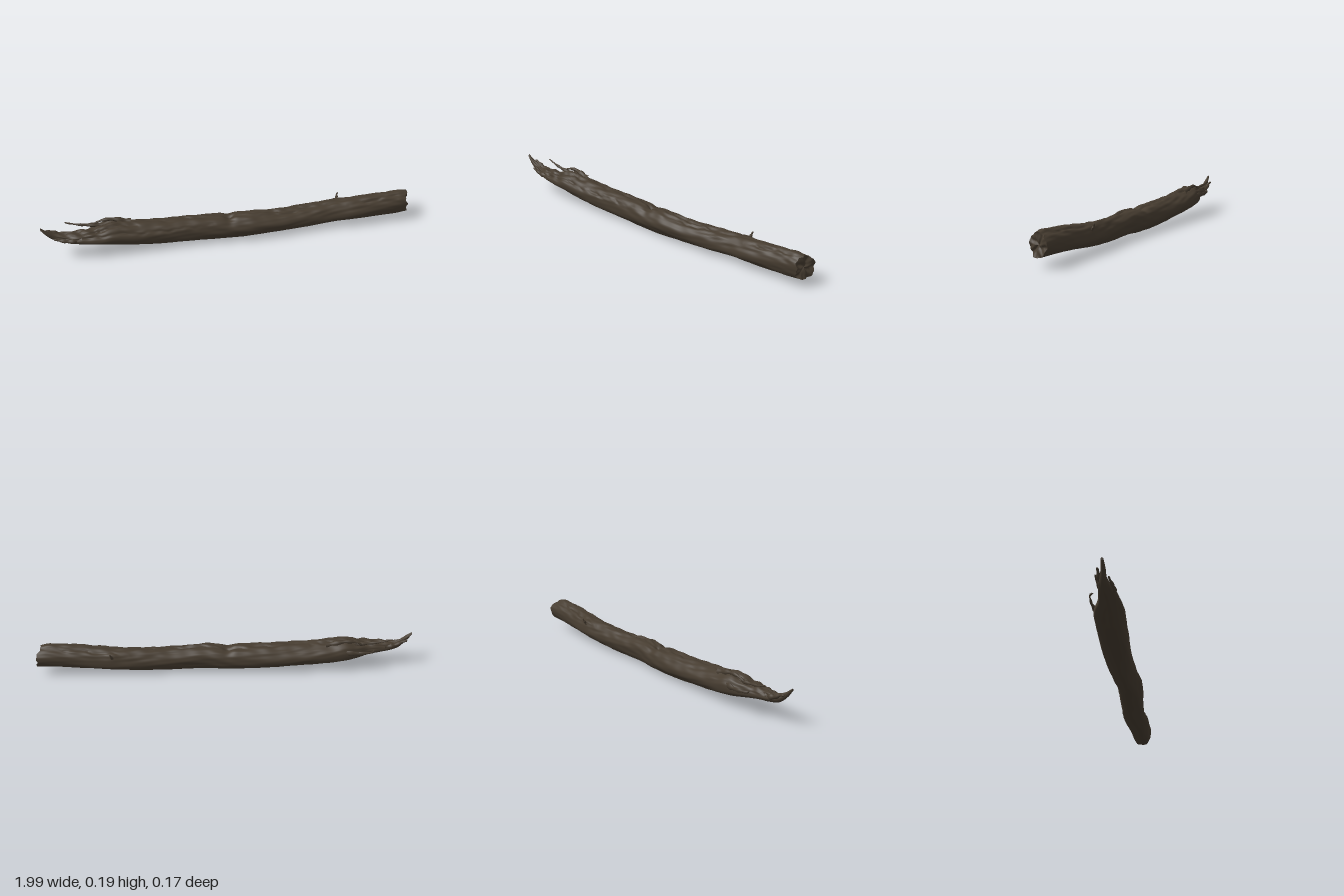
import * as THREE from 'three';

const SIDES = 64;
const RINGS = 260;

// x, bottom, top, back, front of the trunk outline
const stations = [
  [-1.0, 0.176, 0.19, -0.004, 0.008], [-0.97, 0.138, 0.168, -0.008, 0.014],
  [-0.93, 0.104, 0.146, -0.018, 0.016], [-0.88, 0.09, 0.138, -0.03, 0.028],
  [-0.83, 0.082, 0.14, -0.037, 0.046], [-0.76, 0.07, 0.143, -0.046, 0.058],
  [-0.7, 0.06, 0.152, -0.07, 0.065], [-0.64, 0.05, 0.168, -0.083, 0.068],
  [-0.57, 0.04, 0.158, -0.083, 0.068], [-0.4, 0.024, 0.145, -0.08, 0.068],
  [-0.2, 0.008, 0.14, -0.074, 0.065], [0.0, 0.003, 0.135, -0.06, 0.074],
  [0.1, 0.008, 0.138, -0.051, 0.083], [0.25, 0.012, 0.128, -0.053, 0.079],
  [0.4, 0.013, 0.131, -0.055, 0.07], [0.55, 0.02, 0.138, -0.058, 0.064],
  [0.65, 0.027, 0.145, -0.054, 0.075], [0.8, 0.034, 0.157, -0.042, 0.075],
  [0.92, 0.041, 0.164, -0.038, 0.077], [0.965, 0.042, 0.16, -0.035, 0.073],
];

// Grooves in the bark: start x, end x, angle, drift, depth
const cracks = [
  [-0.85, -0.5, 1.0, 0.3, 0.012], [-0.8, -0.45, 2.0, -0.3, 0.014],
  [-0.72, -0.1, 0.45, 0.25, 0.006], [-0.45, 0.0, 1.5, 0.3, 0.007],
  [-0.02, 0.5, 1.75, -0.35, 0.009], [0.1, 0.62, 1.1, 0.2, 0.005],
  [0.62, 0.95, 0.9, 0.25, 0.006], [0.5, 0.93, 2.2, -0.2, 0.005],
  [-0.98, -0.78, 1.4, 0.4, 0.01], [-0.95, -0.7, 0.2, 0.4, 0.008],
];

const bump = (v, width) => Math.exp(-((v / width) ** 2));

// Smooth interpolation along the outline stations
function outline(x) {
  let i = 0;
  while (i < stations.length - 2 && x > stations[i + 1][0]) i++;
  const a = stations[i], b = stations[i + 1];
  const p = stations[Math.max(i - 1, 0)], n = stations[Math.min(i + 2, stations.length - 1)];
  const h = b[0] - a[0], t = (x - a[0]) / h;
  return [1, 2, 3, 4].map((k) => {
    const m0 = (b[k] - p[k]) / (b[0] - p[0]) * h, m1 = (n[k] - a[k]) / (n[0] - a[0]) * h;
    return (2 * t ** 3 - 3 * t * t + 1) * a[k] + (t ** 3 - 2 * t * t + t) * m0
      + (3 * t * t - 2 * t ** 3) * b[k] + (t ** 3 - t * t) * m1;
  });
}

// Long bark ridges, cracks, knots and the top notch
function relief(x, a) {
  const up = Math.max(0, Math.sin(a));
  const rough = 0.3 + 0.7 * up;
  let d = 0.0022 * Math.sin(3 * a + 5 * x) + 0.0016 * Math.sin(5 * a - 9 * x + 2);
  d += rough * (0.0014 * Math.sin(11 * a + 6 * Math.sin(7 * x)) + 0.0012 * Math.sin(7 * a + 31 * x)
    + 0.001 * Math.sin(2 * a + 67 * x) + 0.0009 * Math.sin(17 * a - 23 * x));
  for (const [x0, x1, a0, drift, depth] of cracks) {
    const t = (x - x0) / (x1 - x0);
    if (t <= 0 || t >= 1) continue;
    const centre = a0 + drift * t + 0.07 * Math.sin(40 * x) + 0.04 * Math.sin(93 * x);
    d -= depth * Math.sqrt(Math.sin(Math.PI * t)) * bump(a - centre, 0.1);
  }
  d -= 0.02 * bump(x + 0.022, 0.026) * bump(a - 1.55, 0.75);
  d += 0.006 * bump(x - 0.58, 0.035) * bump(a - 2.5, 0.35);
  if (x < -0.6) d += 0.005 * up * Math.sin(85 * x + 3 * a) * Math.min(1, (-0.6 - x) * 5);
  return d;
}

// Closed, smooth skin over a list of rings of points
function skin(rings) {
  const n = rings[0].length;
  const pos = [], index = [];
  rings.forEach((r) => r.forEach((p) => pos.push(...p)));
  for (let i = 0; i < rings.length - 1; i++) {
    for (let j = 0; j < n; j++) {
      const a = i * n + j, b = i * n + (j + 1) % n;
      index.push(a, a + n, b, b, a + n, b + n);
    }
  }
  const g = new THREE.BufferGeometry();
  g.setAttribute('position', new THREE.Float32BufferAttribute(pos, 3));
  g.setIndex(index);
  g.computeVertexNormals();
  return g;
}

// One ring of the trunk; the last stretch is sheared into the slanted break
function trunkRing(x, scale = 1) {
  const [y0, y1, z0, z1] = outline(x);
  const ry = (y1 - y0) / 2, rz = (z1 - z0) / 2, cy = (y0 + y1) / 2, cz = (z0 + z1) / 2;
  const small = Math.min(1, Math.min(ry, rz) / 0.045);
  return Array.from({ length: SIDES }, (_, j) => {
    const a = (j / SIDES) * Math.PI * 2;
    const d = relief(x, a) * small;
    const y = cy + Math.sin(a) * (ry + d) * scale;
    const z = cz + Math.cos(a) * (rz + d) * scale;
    const end = THREE.MathUtils.smoothstep(x, 0.85, 0.965);
    const shear = -0.3 * (z - 0.02) - 0.12 * (y - 0.1) + 0.005 * Math.sin(5 * a + 1)
      + 0.003 * Math.sin(11 * a) - 0.014 * bump(a - 5.5, 0.3);
    return [x + end * shear, Math.max(0, y), z];
  });
}

// Tapered, slightly gnarled splinter along a path
function splinter(points, radius, flat = 1) {
  const curve = new THREE.CatmullRomCurve3(points.map((p) => new THREE.Vector3(...p)));
  const segments = 20, sides = 8;
  const g = new THREE.TubeGeometry(curve, segments, radius, sides, false);
  const pos = g.attributes.position, v = new THREE.Vector3();
  for (let i = 0; i < pos.count; i++) {
    const t = Math.floor(i / (sides + 1)) / segments;
    const c = curve.getPointAt(t);
    const s = t === 1 ? 0 : (1 - 0.75 * t) * (1 + 0.2 * Math.sin(t * 19 + radius * 900));
    v.fromBufferAttribute(pos, i).sub(c).multiplyScalar(s);
    v.z *= flat;
    pos.setXYZ(i, c.x + v.x, c.y + v.y, c.z + v.z);
  }
  g.computeVertexNormals();
  return g;
}

export function createModel() {
  const model = new THREE.Group();
  model.name = 'fallenBranch';
  const bark = new THREE.MeshStandardMaterial({ color: 0x463c30 });
  bark.name = 'dark bark';
  const add = (name, geometry) => {
    const mesh = new THREE.Mesh(geometry, bark);
    mesh.name = name;
    model.add(mesh);
  };

  // Trunk
  const rings = [];
  for (let i = 0; i <= RINGS; i++) rings.push(trunkRing(-1 + (1.965 * i) / RINGS));
  add('trunk', skin(rings));

  // Broken wood face at the thick end, dished with radial ridges
  const face = [1, 0.9, 0.7, 0.5, 0.3, 0.12, 0].map((s) => trunkRing(0.965, s).map(([x, y, z], j) => {
    const a = (j / SIDES) * Math.PI * 2;
    const dish = s === 1 ? 0 : 0.007 * Math.sin(s * Math.PI) * Math.sin(4 * a + 5 * s) - 0.008 * (1 - s);
    const flatX = 0.965 - 0.3 * (z - 0.02) - 0.12 * (y - 0.1);
    return [flatX + (x - flatX) * s * s + dish, y, z];
  }));
  add('brokenEnd', skin(face));

  // Closed tip of the thin end
  add('tipCap', skin([trunkRing(-1, 0), trunkRing(-1)]));

  // Splinters and torn bark at the frayed end
  add('upperSpike', splinter([[-0.69, 0.145, -0.03], [-0.77, 0.153, -0.035], [-0.83, 0.163, -0.042], [-0.88, 0.178, -0.045]], 0.011));
  add('backHook', splinter([[-0.62, 0.12, -0.068], [-0.69, 0.118, -0.079], [-0.75, 0.122, -0.083], [-0.785, 0.125, -0.078], [-0.79, 0.13, -0.062]], 0.017, 0.55));
  add('tornBark', splinter([[-0.54, 0.145, -0.03], [-0.6, 0.162, -0.035], [-0.65, 0.17, -0.038], [-0.7, 0.163, -0.04], [-0.73, 0.15, -0.04]], 0.016));
  add('lowerSplinter', splinter([[-0.8, 0.11, 0.035], [-0.86, 0.112, 0.038], [-0.91, 0.12, 0.03], [-0.94, 0.128, 0.024]], 0.016));
  add('tipSplinter', splinter([[-0.86, 0.115, -0.015], [-0.91, 0.128, -0.022], [-0.95, 0.148, -0.022], [-0.975, 0.155, -0.024]], 0.017));

  // Twig stub on the back
  add('twigStub', splinter([[0.585, 0.105, -0.035], [0.59, 0.122, -0.052], [0.592, 0.135, -0.061], [0.598, 0.148, -0.064]], 0.011));

  return model;
}
